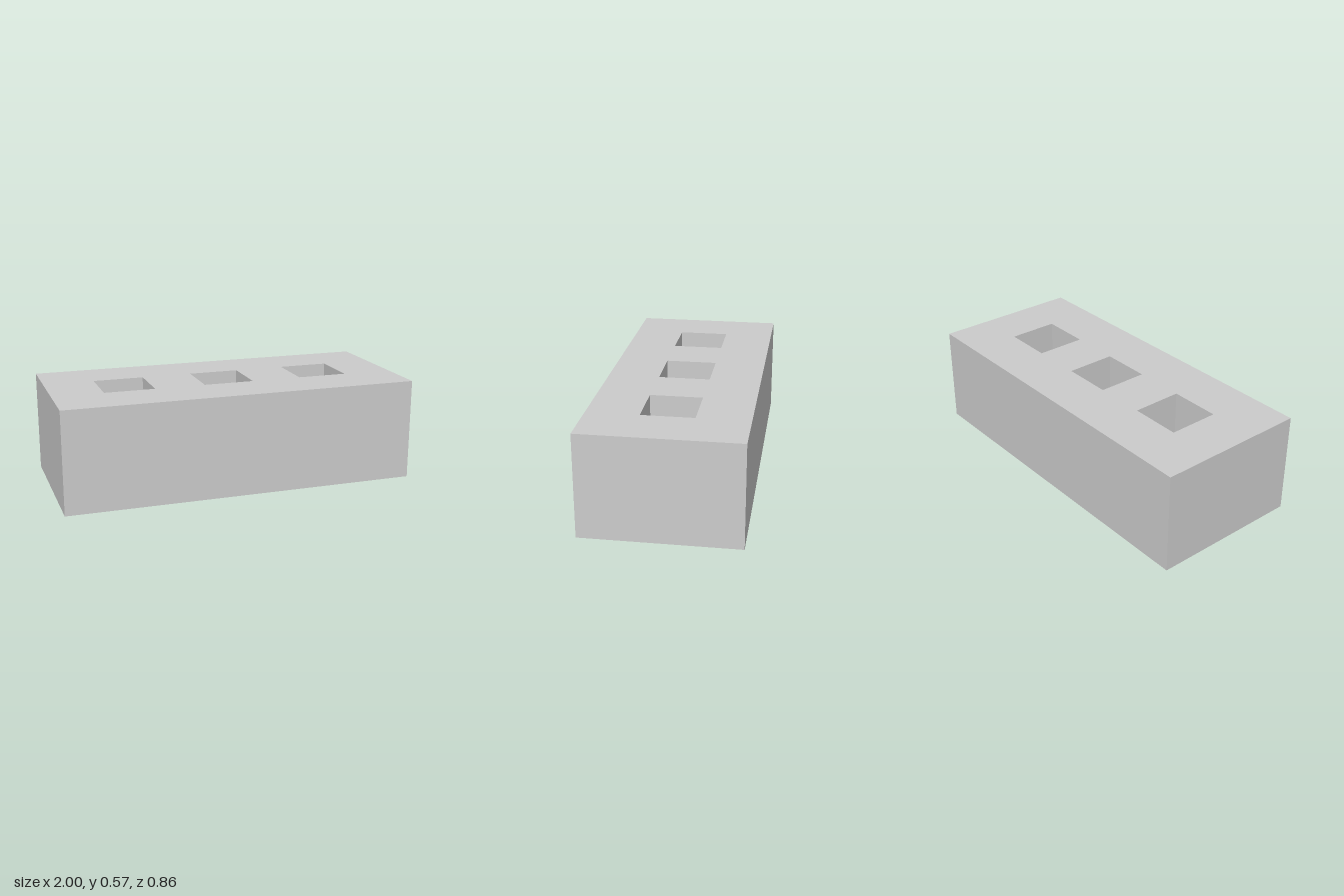
import * as THREE from 'three';

const U = 1 / 7; // module unit: the block is 14 x 4 x 6 units
const W = 14 * U, H = 4 * U, D = 6 * U, POCKET = 2 * U;

// Box without its top face; inward turns the faces to the inside.
function openBox(w, h, d, inward = false) {
  const g = new THREE.BoxGeometry(w, h, d);
  let index = Array.from(g.index.array).filter((_, i) => i < 12 || i >= 18);
  if (inward) {
    index = index.reverse();
    g.attributes.normal.array.forEach((v, i, a) => { a[i] = -v; });
  }
  g.setIndex(index);
  g.clearGroups();
  return g;
}

function rectangle(path, cx, w, d) {
  path.moveTo(cx - w / 2, -d / 2);
  path.lineTo(cx + w / 2, -d / 2);
  path.lineTo(cx + w / 2, d / 2);
  path.lineTo(cx - w / 2, d / 2);
  path.closePath();
  return path;
}

export function createModel() {
  const group = new THREE.Group();
  group.name = 'block';
  const material = new THREE.MeshStandardMaterial({ color: 0xcccccc, flatShading: true });
  const add = (name, geometry, x, y) => {
    const mesh = new THREE.Mesh(geometry, material);
    mesh.name = name;
    mesh.position.set(x, y, 0);
    group.add(mesh);
  };

  // Outer sides and bottom
  add('body', openBox(W, H, D), 0, H / 2);

  // Top face with square openings, each leading into a blind pocket
  const top = rectangle(new THREE.Shape(), 0, W, D);
  for (const x of [-4 * U, 0, 4 * U]) {
    top.holes.push(rectangle(new THREE.Path(), x, POCKET, POCKET));
    add('pocket', openBox(POCKET, POCKET, POCKET, true), x, H - POCKET / 2);
  }
  add('topFace', new THREE.ShapeGeometry(top).rotateX(-Math.PI / 2), 0, H);

  return group;
}
